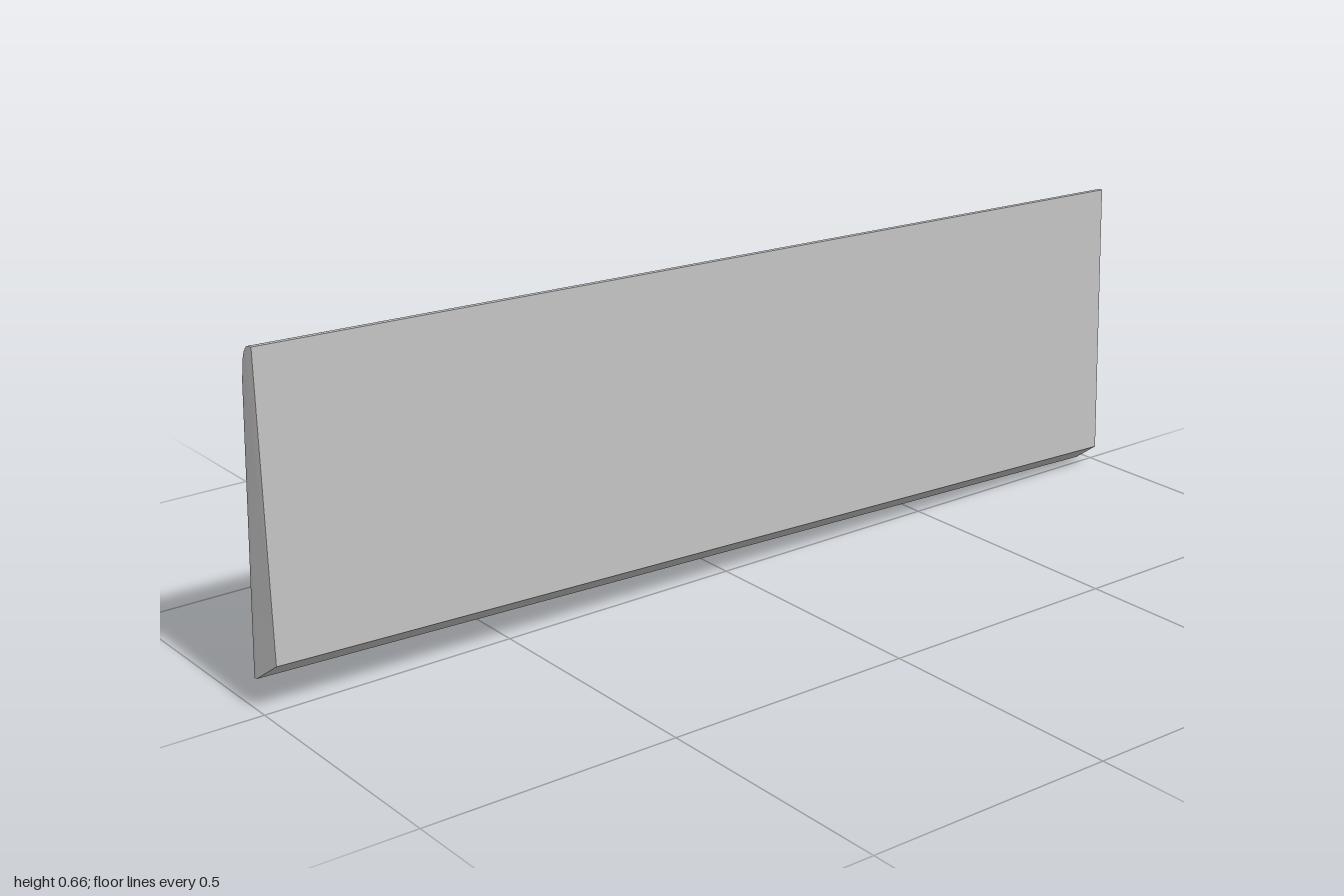
import * as THREE from 'three';
import { toCreasedNormals } from 'three/addons/utils/BufferGeometryUtils.js';

const W = 1.982, H = 0.596;      // board length and depth
const U = 0.0825;                // key pitch
const TILT = 0.03;               // lean of the whole board
const S0 = 0.04;                 // margin before the first key
const BACK = -0.022;             // floor of the key wells
const PLATE = 0.007, KEY = 0.0105;

// Top edge of each key row, measured up from the lower edge (space bar row first)
const rowTop = [0, 1, 2, 3, 4].map((i) => 0.535 - i * U).concat(0.118);
const xAt = (u) => W / 2 - S0 - u * U;

const repeat = (n, w = 1) => Array(n).fill(w);

// Each run: [row, first column, key widths, rows spanned]
const runs = [
  [0, 0, [...repeat(3, 1.3), 5.9, ...repeat(4, 1.3)]],
  [1, 0, [2.25, ...repeat(10), 2.75]],
  [2, 0, [1.75, ...repeat(11), 2.25]],
  [3, 0, [1.5, ...repeat(12), 1.5]],
  [4, 0, [...repeat(13), 2]],
  [5, 0, [1]], [5, 2.4, repeat(4)], [5, 6.7, repeat(4)], [5, 11, repeat(4)],
  [0, 15.25, repeat(3)], [1, 16.25, [1]],
  [3, 15.25, repeat(3)], [4, 15.25, repeat(3)], [5, 15.25, repeat(3)],
  [0, 18.5, [2, 1]], [1, 18.5, repeat(3)], [2, 18.5, repeat(3)],
  [3, 18.5, repeat(3)], [4, 18.5, repeat(4)],
  [0, 21.5, [1], 2], [2, 21.5, [1], 2],
];

// Wells as outlines of [column, height] corners
const rect = (u0, u1, r0, r1) => {
  const a = rowTop[r0], b = rowTop[r1] - U;
  return [[u0, a], [u1, a], [u1, b], [u0, b]];
};
const wells = [
  rect(0, 15, 0, 4), rect(0, 1, 5, 5), rect(2.4, 6.4, 5, 5), rect(6.7, 10.7, 5, 5),
  rect(11, 15, 5, 5), rect(15.25, 18.25, 5, 5), rect(15.25, 18.25, 3, 4), rect(18.5, 22.5, 0, 4),
  [[15.25, rowTop[0]], [18.25, rowTop[0]], [18.25, rowTop[1]], [17.25, rowTop[1]],
    [17.25, rowTop[2]], [16.25, rowTop[2]], [16.25, rowTop[1]], [15.25, rowTop[1]]],
];

// Wedge-shaped case with a rounded upper edge and ends that narrow to the front
function caseGeometry() {
  const pts = [[BACK, 0], [0.036, 0.042], [-0.002, H]];
  for (let i = 0; i <= 10; i++) {
    const a = (i / 10) * Math.PI / 2;
    pts.push([-0.01 - 0.02 * Math.sin(a), 0.54 + (H - 0.54) * Math.cos(a)]);
  }
  pts.push([-0.0247, 0.54]);
  const shape = new THREE.Shape(pts.map(([z, y]) => new THREE.Vector2(z, y)));
  const geo = new THREE.ExtrudeGeometry(shape, { depth: W, bevelEnabled: false });
  geo.rotateY(-Math.PI / 2).translate(W / 2, 0, 0);
  const p = geo.attributes.position;
  for (let i = 0; i < p.count; i++) {
    const inset = 0.008 * Math.max(0, (p.getZ(i) - BACK) / 0.058);
    p.setX(i, p.getX(i) - Math.sign(p.getX(i)) * inset);
  }
  return toCreasedNormals(geo, 0.5);
}

// Thin plate with openings for the key blocks
function plateGeometry() {
  const x = W / 2, top = 0.54;
  const shape = new THREE.Shape([[-x, 0], [x, 0], [x, top], [-x, top]].map((p) => new THREE.Vector2(...p)));
  for (const well of wells) {
    shape.holes.push(new THREE.Path(well.map(([u, y]) => new THREE.Vector2(xAt(u), y))));
  }
  const geo = new THREE.ExtrudeGeometry(shape, { depth: PLATE, bevelEnabled: false });
  return geo.translate(0, 0, -PLATE);
}

// Key cap: a box whose outer face is drawn in on all sides
function keyGeometry(w, h) {
  const geo = new THREE.BoxGeometry(w, h, KEY);
  const p = geo.attributes.position, inset = 0.006;
  for (let i = 0; i < p.count; i++) {
    if (p.getZ(i) > 0) continue;
    p.setX(i, p.getX(i) - Math.sign(p.getX(i)) * inset);
    p.setY(i, p.getY(i) - Math.sign(p.getY(i)) * inset);
  }
  geo.computeVertexNormals();
  return geo;
}

export function createModel() {
  const grey = new THREE.MeshStandardMaterial({ color: 0xbfbfbf });
  grey.name = 'grey plastic';
  const add = (parent, geo, name) => {
    const mesh = new THREE.Mesh(geo, grey);
    mesh.name = name;
    parent.add(mesh);
    return mesh;
  };

  const board = new THREE.Group();
  board.name = 'keyboard';
  add(board, caseGeometry(), 'case');

  // Key side, following the slight slope of the case
  const keySide = new THREE.Group();
  keySide.name = 'keySide';
  keySide.position.z = BACK;
  keySide.rotation.x = -0.005;
  board.add(keySide);
  add(keySide, plateGeometry(), 'keyPlate');

  const keys = new THREE.Group();
  keys.name = 'keys';
  keySide.add(keys);
  for (const [row, start, widths, span = 1] of runs) {
    let u = start;
    for (const w of widths) {
      const key = add(keys, keyGeometry(w * U - 0.005, span * U - 0.005), 'key');
      key.position.set(xAt(u + w / 2), rowTop[row] - span * U / 2, -KEY / 2);
      u += w;
    }
  }

  // Lean the board so that one lower corner rests on the ground
  board.rotation.z = -TILT;
  board.position.set(-Math.sin(TILT) * H / 2, Math.sin(TILT) * W / 2, 0);

  const model = new THREE.Group();
  model.name = 'model';
  model.add(board);
  return model;
}
